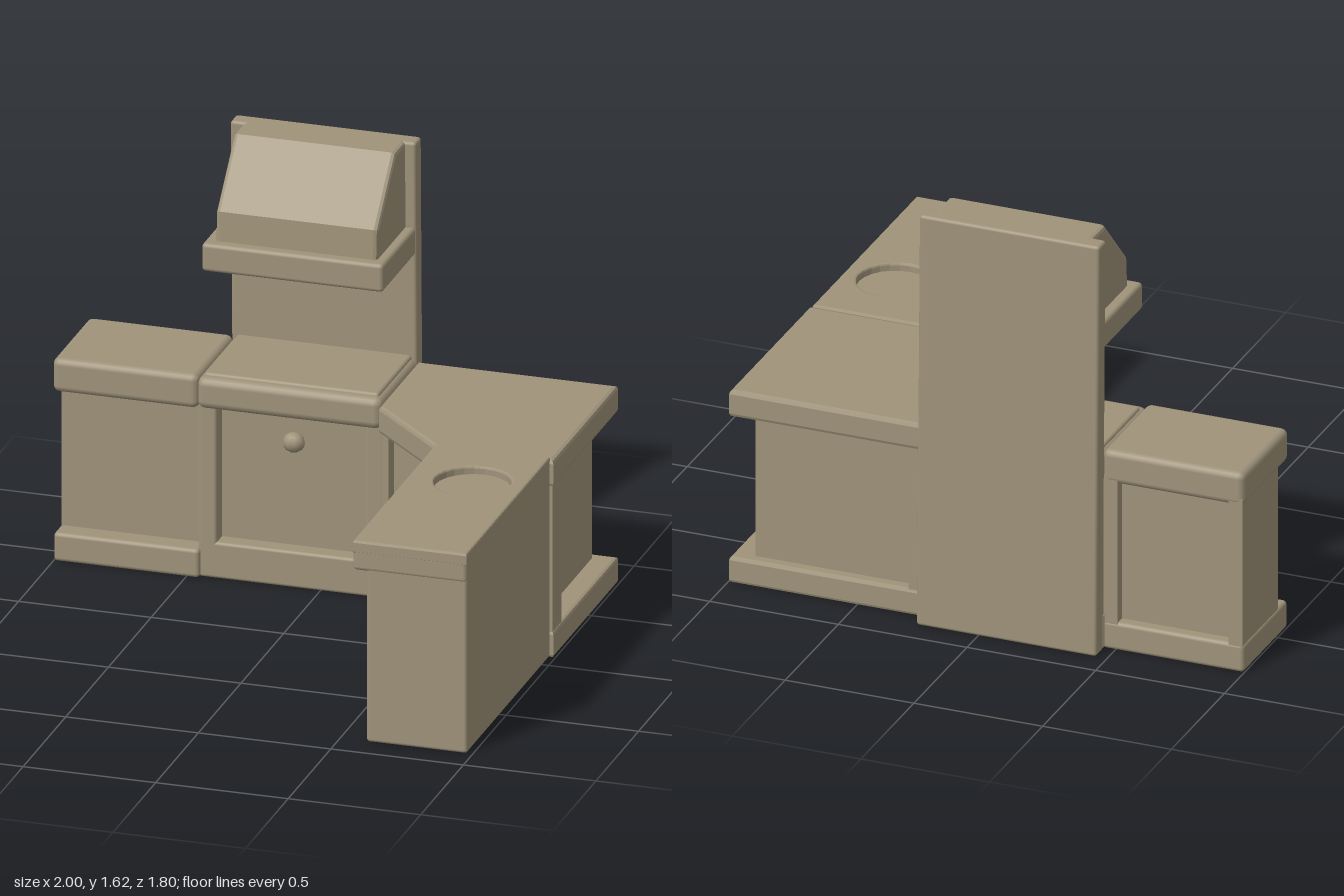
import * as THREE from 'three';
import { RoundedBoxGeometry } from 'three/addons/geometries/RoundedBoxGeometry.js';

export function createModel() {
  const root = new THREE.Group();
  root.name = 'kitchen';
  const clay = new THREE.MeshStandardMaterial({ color: 0x9f937a });
  clay.name = 'clay';

  const add = (name, geometry, parent) => {
    const mesh = new THREE.Mesh(geometry, clay);
    mesh.name = name;
    parent.add(mesh);
    return mesh;
  };
  const group = (name) => {
    const g = new THREE.Group();
    g.name = name;
    root.add(g);
    return g;
  };
  // Box given by its extents, with softened edges when r > 0
  const box = (name, parent, [x0, x1], [y0, y1], [z0, z1], r = 0) => {
    const size = [x1 - x0, y1 - y0, z1 - z0];
    const geo = r ? new RoundedBoxGeometry(...size, 2, r) : new THREE.BoxGeometry(...size);
    geo.translate((x0 + x1) / 2, (y0 + y1) / 2, (z0 + z1) / 2);
    return add(name, geo, parent);
  };
  // Upright prism over a plan of [x, z] points
  const prism = (name, parent, plan, y0, y1, bevel = 0, hole = null) => {
    const shape = new THREE.Shape(plan.map(([x, z]) => new THREE.Vector2(x, -z)));
    if (hole) shape.holes.push(hole);
    const geo = new THREE.ExtrudeGeometry(shape, {
      depth: y1 - y0 - 2 * bevel, bevelEnabled: bevel > 0, bevelSize: bevel,
      bevelThickness: bevel, bevelOffset: -bevel, bevelSegments: 2, curveSegments: 12,
    });
    geo.rotateX(-Math.PI / 2).translate(0, y0 + bevel, 0);
    return add(name, geo, parent);
  };
  // Round knob on a short stem that points back into the door
  const knob = (parent, x, y, z, yaw) => {
    const ball = new THREE.SphereGeometry(0.042, 10, 8);
    ball.scale(1, 0.9, 0.85).rotateY(yaw).translate(x, y, z);
    add('knob', ball, parent);
    const stem = new THREE.CylinderGeometry(0.02, 0.02, 0.09, 8);
    stem.rotateX(Math.PI / 2).translate(0, 0, -0.045).rotateY(yaw).translate(x, y, z);
    add('knobStem', stem, parent);
  };

  // Side counter with a framed recess in its back
  const side = group('sideCounter');
  box('sideTop', side, [-1, -0.45], [0.67, 0.8], [-0.82, -0.39], 0.025);
  box('sideBase', side, [-1, -0.45], [0.01, 0.12], [-0.82, -0.405], 0.015);
  box('sideBody', side, [-0.995, -0.455], [0.1, 0.7], [-0.775, -0.485]);
  for (const x of [-0.995, -0.51]) {
    box('sideBackPost', side, [x, x + 0.055], [0.1, 0.7], [-0.818, -0.77]);
  }

  // Stove with framed door
  const stove = group('stove');
  box('stoveTop', stove, [-0.46, 0.24], [0.67, 0.79], [-0.83, -0.395], 0.03);
  box('stovePlate', stove, [-0.44, 0.22], [0.77, 0.8], [-0.83, -0.43], 0.012);
  box('stoveBody', stove, [-0.455, 0.235], [0.02, 0.7], [-0.83, -0.49]);
  box('stoveSill', stove, [-0.46, 0.24], [0.01, 0.15], [-0.83, -0.425], 0.012);
  for (const x of [-0.46, 0.17]) {
    box('stovePost', stove, [x, x + 0.07], [0.03, 0.7], [-0.54, -0.425], 0.012);
  }
  knob(stove, -0.11, 0.56, -0.46, 0);

  // Back wall, leaning slightly forward
  const wall = box('backWall', root, [-0.46, 0.24], [0.01, 1.63], [-0.9, -0.83], 0.012);
  const p = wall.geometry.attributes.position;
  for (let i = 0; i < p.count; i++) p.setZ(i, p.getZ(i) + 0.018 * p.getY(i));
  wall.geometry.computeBoundingSphere();

  // Extractor hood
  const hood = group('hood');
  box('hoodLip', hood, [-0.45, 0.235], [1.19, 1.298], [-0.83, -0.432], 0.015);
  const profile = new THREE.Shape([[0.47, 1.27], [0.82, 1.27], [0.82, 1.63], [0.69, 1.63], [0.48, 1.41]]
    .map(([z, y]) => new THREE.Vector2(z, y)));
  const chimney = new THREE.ExtrudeGeometry(profile, {
    depth: 0.58, bevelSize: 0.015, bevelThickness: 0.015, bevelOffset: -0.015, bevelSegments: 2,
  });
  chimney.rotateY(Math.PI / 2).translate(-0.395, 0, 0);
  add('hoodCover', chimney, hood);

  // Corner unit with a diagonal door and inset outer sides
  const corner = group('cornerUnit');
  const plan = [[0.24, -0.83], [0.24, -0.37], [0.55, -0.07], [0.995, -0.07], [0.995, -0.83]];
  const inner = [[0.24, -0.785], [0.24, -0.45], [0.59, -0.1], [0.61, -0.08], [0.91, -0.08], [0.91, -0.785]];
  prism('cornerTop', corner, plan, 0.67, 0.776, 0.015);
  prism('cornerBase', corner, plan, 0.01, 0.112, 0.012);
  prism('cornerBody', corner, inner, 0.1, 0.69);
  prism('cornerSidePost', corner, [[0.9, -0.2], [0.9, -0.075], [0.99, -0.075], [0.99, -0.18]], 0.1, 0.69);
  prism('cornerBackPost', corner, [[0.24, -0.825], [0.24, -0.77], [0.32, -0.77], [0.3, -0.825]], 0.1, 0.69);
  prism('doorPost', corner, [[0.24, -0.46], [0.24, -0.4], [0.28, -0.36], [0.29, -0.42]], 0.1, 0.69);
  prism('doorPost', corner, [[0.55, -0.14], [0.56, -0.09], [0.62, -0.08], [0.62, -0.14]], 0.1, 0.69);
  knob(corner, 0.495, 0.4, -0.12, -Math.PI / 4);

  // Wing counter with a round basin sunk into the top
  const wing = group('wingCounter');
  box('wingBody', wing, [0.6, 0.98], [0.01, 0.75], [-0.08, 0.897], 0.012);
  box('wingTop', wing, [0.55, 0.98], [0.67, 0.755], [-0.08, 0.9], 0.015);
  const basin = new THREE.Path();
  basin.absarc(0.785, -0.225, 0.14, 0, Math.PI * 2, true);
  prism('wingRim', wing, [[0.55, -0.08], [0.55, 0.9], [0.98, 0.9], [0.98, -0.08]], 0.735, 0.785, 0.008, basin);

  return root;
}
